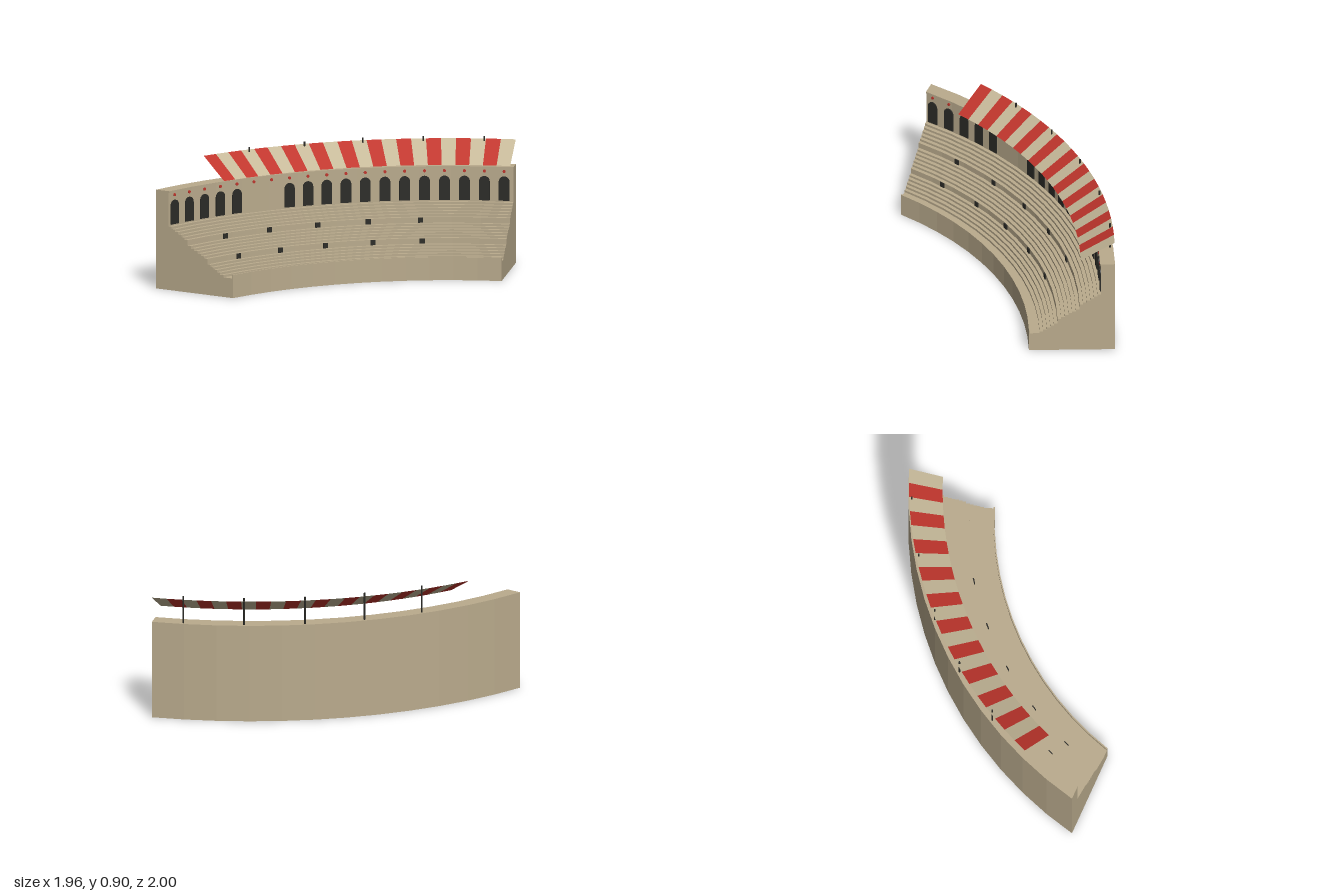
import * as THREE from 'three';

const CX = 1.778, CZ = 1.652;                 // centre of the curved stand
const RAD = Math.PI / 180, END = 68.88 * RAD; // angle of the far cut
const R_OUT = 2.84, R_WALL = 2.742, R_IN = 2.237;

const at = (r, y, a) => [CX - r * Math.cos(a), y, CZ - r * Math.sin(a)];
const startAngle = r => Math.asin((CZ - 1) / r); // near cut lies on z = 1

function flatGeometry(points) {
  const g = new THREE.BufferGeometry();
  g.setAttribute('position', new THREE.Float32BufferAttribute(points.flat(), 3));
  g.computeVertexNormals();
  return g;
}

// Sweeps a closed clockwise (radius, height) profile between the two cuts
function sweep(profile, segments) {
  const out = [], n = profile.length;
  const p = (i, j) => {
    const [r, y] = profile[j % n], s = startAngle(r);
    return at(r, y, s + (END - s) * i / segments);
  };
  for (let i = 0; i < segments; i++) {
    for (let j = 0; j < n; j++) {
      const a = p(i, j), b = p(i, j + 1), c = p(i + 1, j + 1), d = p(i + 1, j);
      out.push(a, d, c, a, c, b);
    }
  }
  const contour = profile.map(([r, y]) => new THREE.Vector2(r, y));
  for (const tri of THREE.ShapeUtils.triangulateShape(contour, [])) {
    const ccw = THREE.ShapeUtils.area(tri.map(k => contour[k])) > 0;
    const [a, b, c] = ccw ? tri : [...tri].reverse();
    out.push(p(segments, a), p(segments, b), p(segments, c));
    out.push(p(0, c), p(0, b), p(0, a));
  }
  return flatGeometry(out);
}

function standProfile() {
  const pts = [[R_IN, 0], [R_IN, 0.165], [R_IN + 0.009, 0.165], [R_IN + 0.009, 0.14]];
  // Three seating tiers: inner radius, outer radius, bottom height, top height
  const tiers = [[2.312, 2.437, 0.14, 0.218], [2.437, 2.591, 0.258, 0.334], [2.591, R_WALL, 0.374, 0.455]];
  const steps = 5;
  for (const [r0, r1, y0, y1] of tiers) {
    if (y0 > 0.14) pts.push([r0, y0]);
    for (let k = 0; k < steps; k++) {
      const r = r0 + (r1 - r0) * (k + (y0 > 0.14 ? 1 : 0)) / (steps + (y0 > 0.14 ? 1 : 0));
      const y = y0 + (y1 - y0) * k / steps;
      pts.push([r, y], [r, y + (y1 - y0) / steps]);
    }
    pts.push([r1, y1]);
  }
  // Back wall with a slight cornice
  pts.push([R_WALL, 0.696], [R_WALL - 0.006, 0.696], [R_WALL - 0.006, 0.707], [R_OUT, 0.707], [R_OUT, 0]);
  return pts;
}

export function createModel() {
  const model = new THREE.Group();
  const material = (name, color, side = THREE.FrontSide) => {
    const m = new THREE.MeshStandardMaterial({ color, side });
    m.name = name;
    return m;
  };
  const stone = material('stone', 0xbaab8d);
  const dark = material('dark', 0x2b2b27);
  const red = material('red cloth', 0xc0352c, THREE.DoubleSide);
  const cream = material('cream cloth', 0xc6b999, THREE.DoubleSide);

  const add = (name, geometry, mat) => {
    const mesh = new THREE.Mesh(geometry, mat);
    mesh.name = name;
    model.add(mesh);
    return mesh;
  };
  // Places a part on the curve, its local +z facing the centre
  const place = (name, geometry, mat, r, y, angle) => {
    const mesh = add(name, geometry, mat);
    mesh.position.set(...at(r, y, angle));
    mesh.rotation.y = Math.PI / 2 - angle;
  };

  add('stand', sweep(standProfile(), 12), stone);

  // Arched openings, with a gap in the arcade, and a round marker over each bay
  const half = 0.038, spring = 0.135;
  const arch = new THREE.Shape();
  arch.moveTo(-half, 0);
  arch.lineTo(half, 0);
  arch.lineTo(half, spring);
  arch.absarc(0, spring, half, 0, Math.PI, false);
  arch.closePath();
  const archGeo = new THREE.ExtrudeGeometry(arch, { depth: 0.008, bevelEnabled: false, curveSegments: 8 });
  const dotGeo = new THREE.CylinderGeometry(0.011, 0.011, 0.008, 10).rotateX(Math.PI / 2);
  for (let k = 0; k < 19; k++) {
    const angle = (67.5 - 2.92 * k) * RAD;
    if (k < 12 || k > 13) place('archOpening', archGeo, dark, R_WALL - 0.0005, 0.465, angle);
    place('wallMarker', dotGeo, red, R_WALL - 0.004, 0.674, angle);
  }

  // Small doorways in the two tall risers
  const doorGeo = new THREE.BoxGeometry(0.036, 0.036, 0.02);
  for (let k = 0; k < 5; k++) {
    const angle = (22.2 + 8.2 * k) * RAD;
    place('lowerDoor', doorGeo, dark, 2.437, 0.239, angle);
    place('upperDoor', doorGeo, dark, 2.591, 0.355, angle);
  }

  // Striped sloping awning
  const stripes = 22, a0 = 22.2 * RAD, cloth = [[], []];
  for (let k = 0; k < stripes; k++) {
    const t0 = a0 + (END - a0) * k / stripes, t1 = a0 + (END - a0) * (k + 1) / stripes;
    const a = at(2.836, 0.885, t0), b = at(2.6, 0.745, t0);
    const c = at(2.6, 0.745, t1), d = at(2.836, 0.885, t1);
    cloth[k % 2].push(a, b, c, a, c, d);
  }
  add('awningRedStripes', flatGeometry(cloth[0]), red);
  add('awningCreamStripes', flatGeometry(cloth[1]), cream);

  // Masts carrying the awning
  const mastGeo = new THREE.CylinderGeometry(0.0065, 0.0065, 0.21, 8);
  for (let k = 0; k < 5; k++) {
    place('mast', mastGeo, dark, 2.818, 0.8, (29.7 + 8.68 * k) * RAD);
  }

  return model;
}
